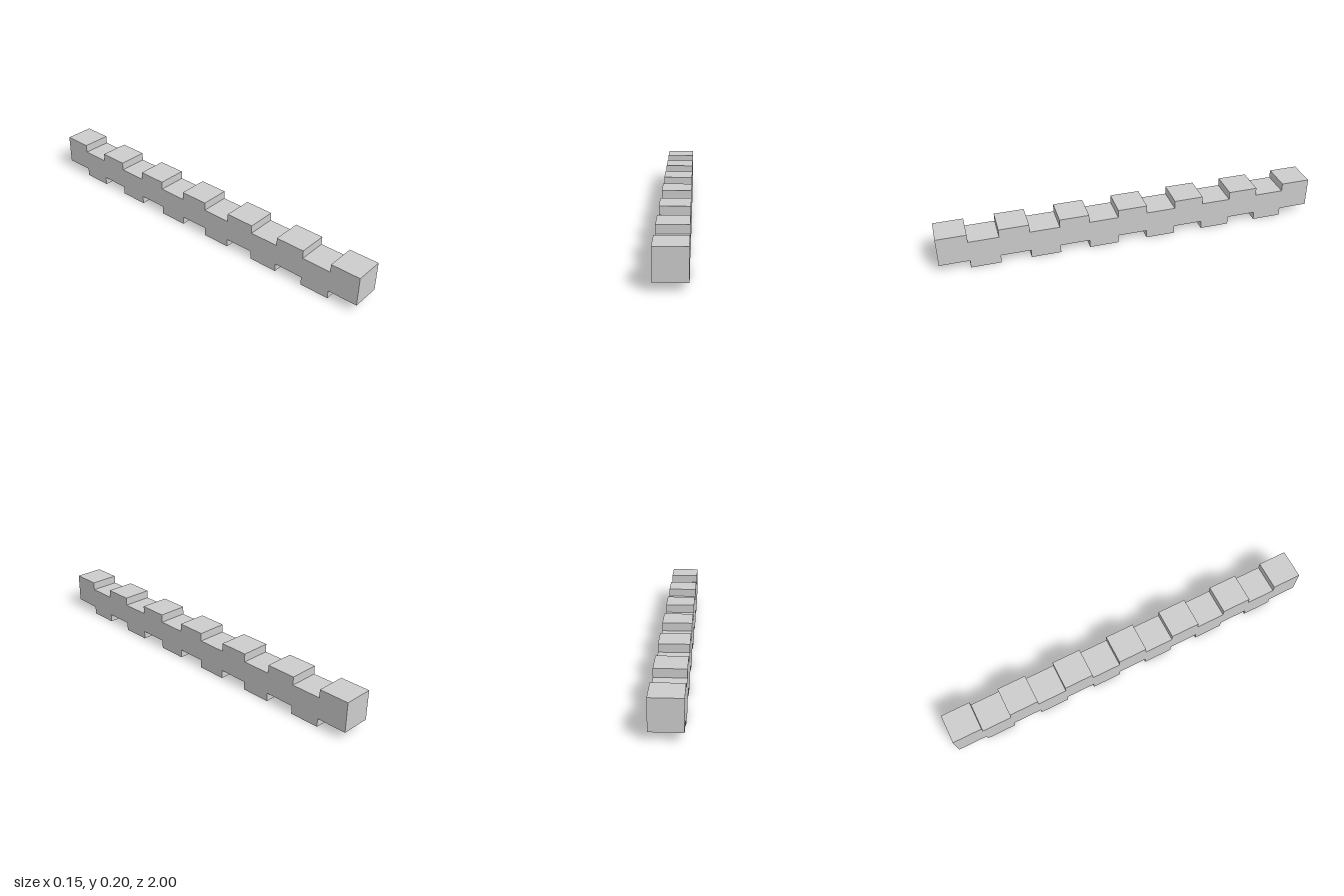
import * as THREE from 'three';

const COUNT = 13;            // alternating raised and lowered blocks
const STEP = 2 / COUNT;      // block length along z
const SIZE = 0.154;          // block width and height
const RISE = 0.043;          // offset of the raised blocks

export function createModel() {
  const group = new THREE.Group();
  group.name = 'steppedBar';
  const grey = new THREE.MeshStandardMaterial({ color: 0xcccccc });
  grey.name = 'light grey';

  // Side outline: walk along the bottom, then back along the top
  const bottom = [];
  const top = [];
  for (let i = 0; i < COUNT; i++) {
    const y = i % 2 === 0 ? RISE : 0;
    const a = -1 + i * STEP;
    const b = a + STEP;
    bottom.push(new THREE.Vector2(a, y), new THREE.Vector2(b, y));
    top.push(new THREE.Vector2(a, y + SIZE), new THREE.Vector2(b, y + SIZE));
  }
  const outline = new THREE.Shape([...bottom, ...top.reverse()]);

  // Extrude across the width and turn the outline to run along z
  const geometry = new THREE.ExtrudeGeometry(outline, { depth: SIZE, bevelEnabled: false });
  geometry.translate(0, 0, -SIZE / 2);
  geometry.rotateY(-Math.PI / 2);

  const bar = new THREE.Mesh(geometry, grey);
  bar.name = 'notchedBar';
  group.add(bar);
  return group;
}
